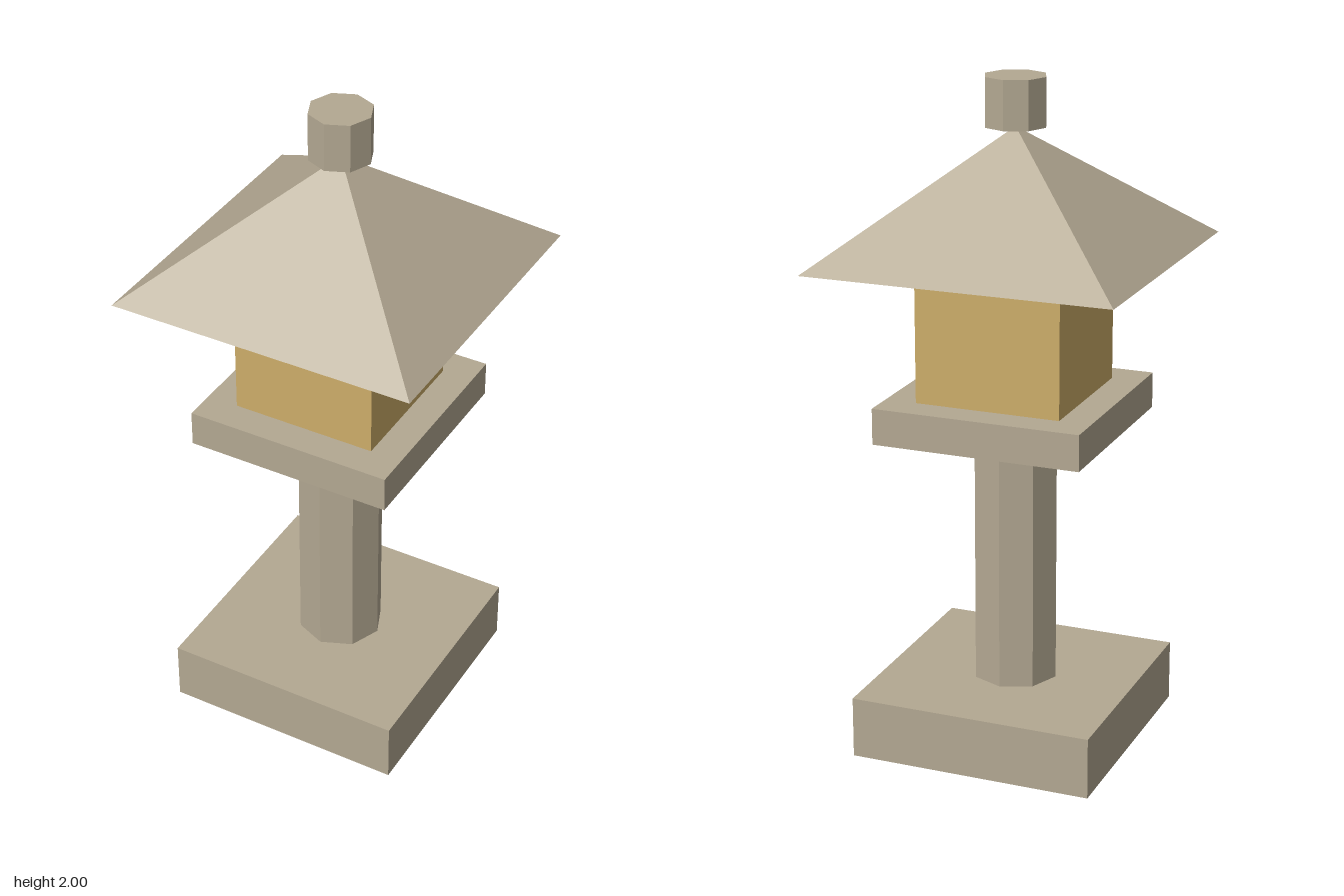
import * as THREE from 'three';

const stone = new THREE.MeshStandardMaterial({ name: 'stone', color: 0xb3a892, flatShading: true, side: THREE.DoubleSide });
const glow = new THREE.MeshStandardMaterial({ name: 'lampGlow', color: 0xcdad69, flatShading: true, side: THREE.DoubleSide });

// Square block between two heights, hollow and open underneath
function openBlock(width, y0, y1) {
  const g = new THREE.BoxGeometry(width, y1 - y0, width);
  const index = Array.from(g.index.array);
  index.splice(18, 6); // remove the bottom face
  g.setIndex(index);
  g.clearGroups();
  return g.translate(0, (y0 + y1) / 2, 0);
}

// Eight-sided post between two heights
function post(radius, y0, y1) {
  return new THREE.CylinderGeometry(radius, radius, y1 - y0, 8).translate(0, (y0 + y1) / 2, 0);
}

// Four-sided roof, open underneath
function pyramid(width, y0, y1) {
  return new THREE.ConeGeometry(width * Math.SQRT1_2, y1 - y0, 4, 1, true)
    .rotateY(Math.PI / 4)
    .translate(0, (y0 + y1) / 2, 0);
}

export function createModel() {
  const group = new THREE.Group();
  group.name = 'stoneLantern';
  const add = (name, geometry, material) => {
    const mesh = new THREE.Mesh(geometry, material);
    mesh.name = name;
    group.add(mesh);
  };

  add('base', openBlock(0.74, 0, 0.185), stone);
  add('pillar', post(0.13, 0.185, 0.967), stone);
  add('platform', openBlock(0.63, 0.967, 1.075), stone);
  add('lightChamber', openBlock(0.44, 1.075, 1.487), glow);
  add('roof', pyramid(0.925, 1.487, 1.855), stone);
  add('finial', post(0.0925, 1.857, 2), stone);

  return group;
}
